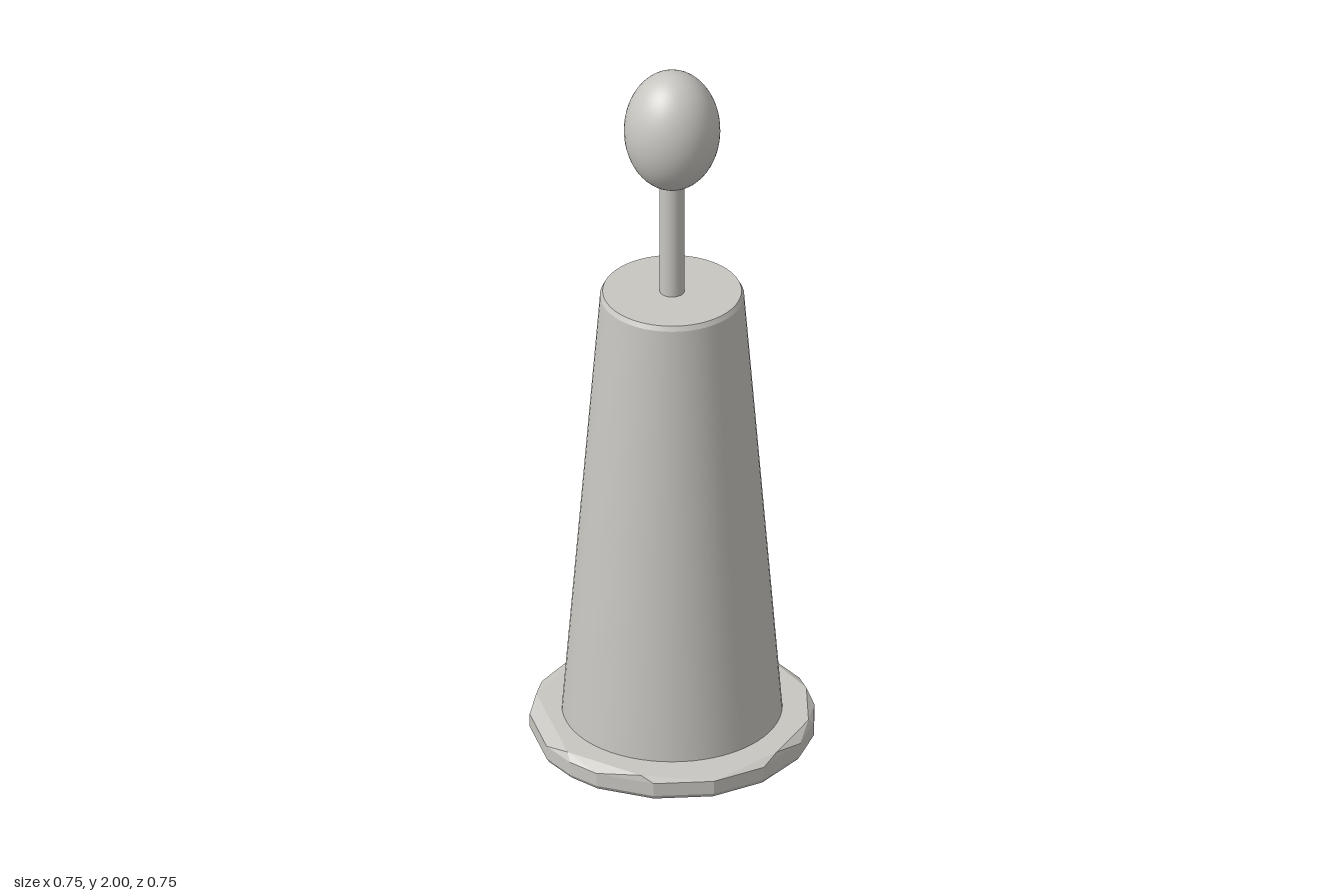
import * as THREE from 'three';
import { ConvexGeometry } from 'three/addons/geometries/ConvexGeometry.js';

export function createModel() {
  const group = new THREE.Group();
  const material = new THREE.MeshStandardMaterial({ color: 0xc8c6c1 });
  material.name = 'warm light grey';

  const add = (name, geometry, y = 0) => {
    const mesh = new THREE.Mesh(geometry, material);
    mesh.name = name;
    mesh.position.y = y;
    group.add(mesh);
    return mesh;
  };

  // Irregular faceted foot: an outer rim with a worn, chamfered top edge
  const rim = [
    [0.375, 0], [0.368, -0.07], [0.325, -0.19], [0.23, -0.3], [0.13, -0.353],
    [0.025, -0.375], [-0.1, -0.362], [-0.25, -0.28], [-0.35, -0.14], [-0.375, -0.04],
    [-0.375, 0.05], [-0.32, 0.2], [-0.21, 0.315], [-0.07, 0.371], [0.085, 0.367],
    [0.19, 0.327], [0.265, 0.267], [0.345, 0.15],
  ];
  const top = [
    [-0.18, -0.315], [0.105, -0.35], [0.29, -0.22], [0.365, 0], [0.295, 0.215],
    [0.17, 0.325], [-0.01, 0.365], [-0.33, 0.165], [-0.36, -0.06],
  ];
  const ring = (points, y, s = 1) => points.map(([x, z]) => new THREE.Vector3(x * s, y, z * s));
  add('base', new ConvexGeometry([
    ...ring(top, 0.067), ...ring(rim, 0.05), ...ring(rim, 0.012), ...ring(rim, 0, 0.98),
  ]));

  // Tapered body
  add('body', new THREE.CylinderGeometry(0.19, 0.291, 1.265, 64, 1, true), 0.06 + 1.265 / 2);

  // Slim bevel and flat lid closing the body
  add('bodyBevel', new THREE.CylinderGeometry(0.183, 0.19, 0.013, 64, 1, true), 1.3315);
  const lid = add('bodyLid', new THREE.CircleGeometry(0.183, 64), 1.338);
  lid.rotation.x = -Math.PI / 2;

  // Stem and egg-shaped knob
  add('stem', new THREE.CylinderGeometry(0.033, 0.033, 0.37, 32), 1.505);
  const knob = add('knob', new THREE.SphereGeometry(1, 48, 32), 1.83);
  knob.scale.set(0.127, 0.17, 0.127);

  return group;
}
